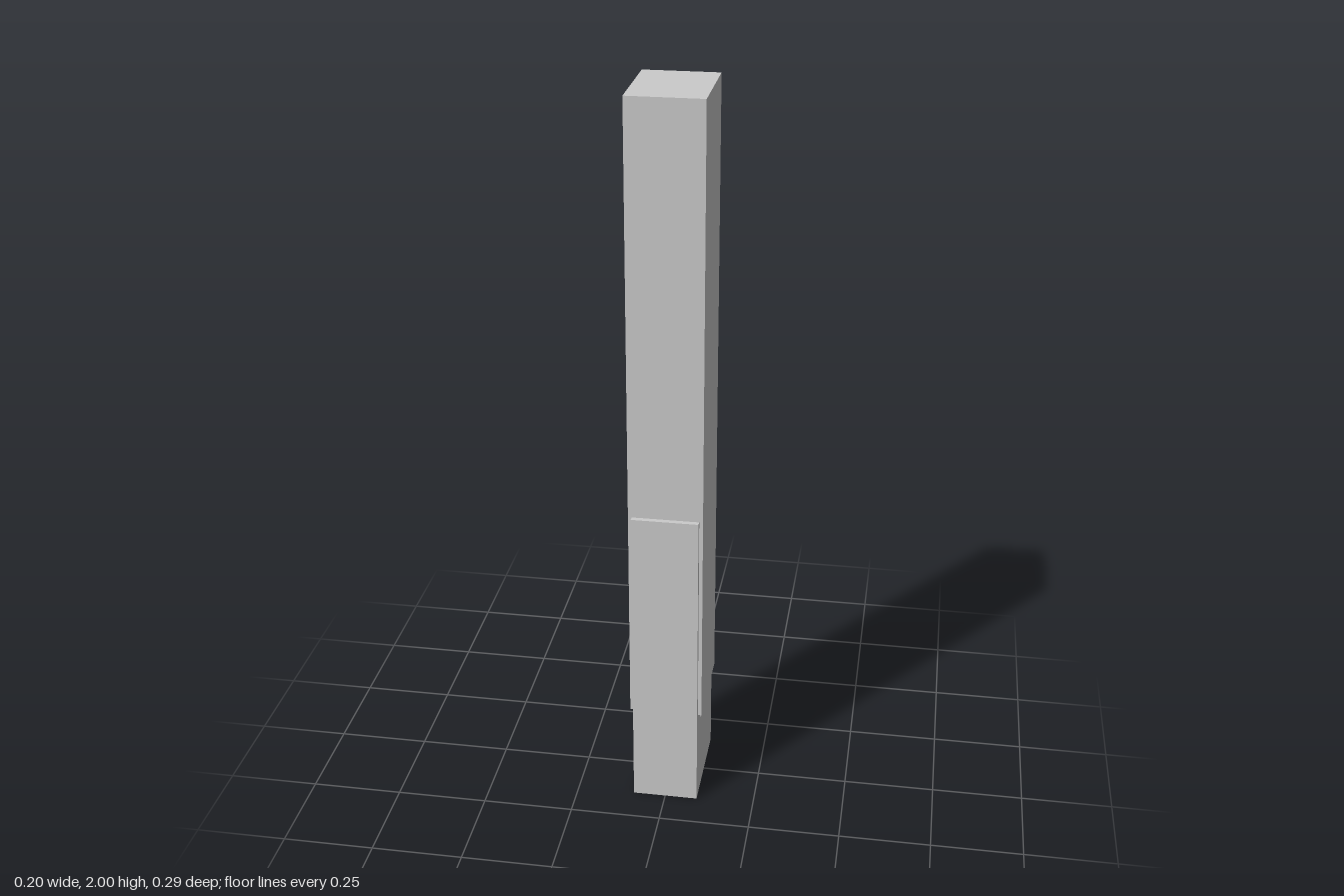
import * as THREE from 'three';

export function createModel() {
  const group = new THREE.Group();
  const material = new THREE.MeshStandardMaterial({ color: 0xcccccc, flatShading: true });

  // Tall rectangular post, held clear of the ground
  const bottom = 0.275, top = 2;
  const post = new THREE.Mesh(new THREE.BoxGeometry(0.2, top - bottom, 0.264), material);
  post.name = 'post';
  post.position.y = (bottom + top) / 2;
  group.add(post);

  // U-shaped foot: solid block with two upright cheeks and a drainage slot under the post
  const outer = 0.146, inner = 0.077, slotFloor = 0.23, cheekTop = 0.88, width = 0.18;
  const profile = new THREE.Shape([
    [-outer, 0], [outer, 0], [outer, cheekTop], [inner, cheekTop],
    [inner, slotFloor], [-inner, slotFloor], [-inner, cheekTop], [-outer, cheekTop],
  ].map(([z, y]) => new THREE.Vector2(z, y)));
  const footGeometry = new THREE.ExtrudeGeometry(profile, { depth: width, bevelEnabled: false });
  footGeometry.translate(0, 0, -width / 2);
  footGeometry.rotateY(Math.PI / 2);
  const foot = new THREE.Mesh(footGeometry, material);
  foot.name = 'postFoot';
  group.add(foot);

  return group;
}
